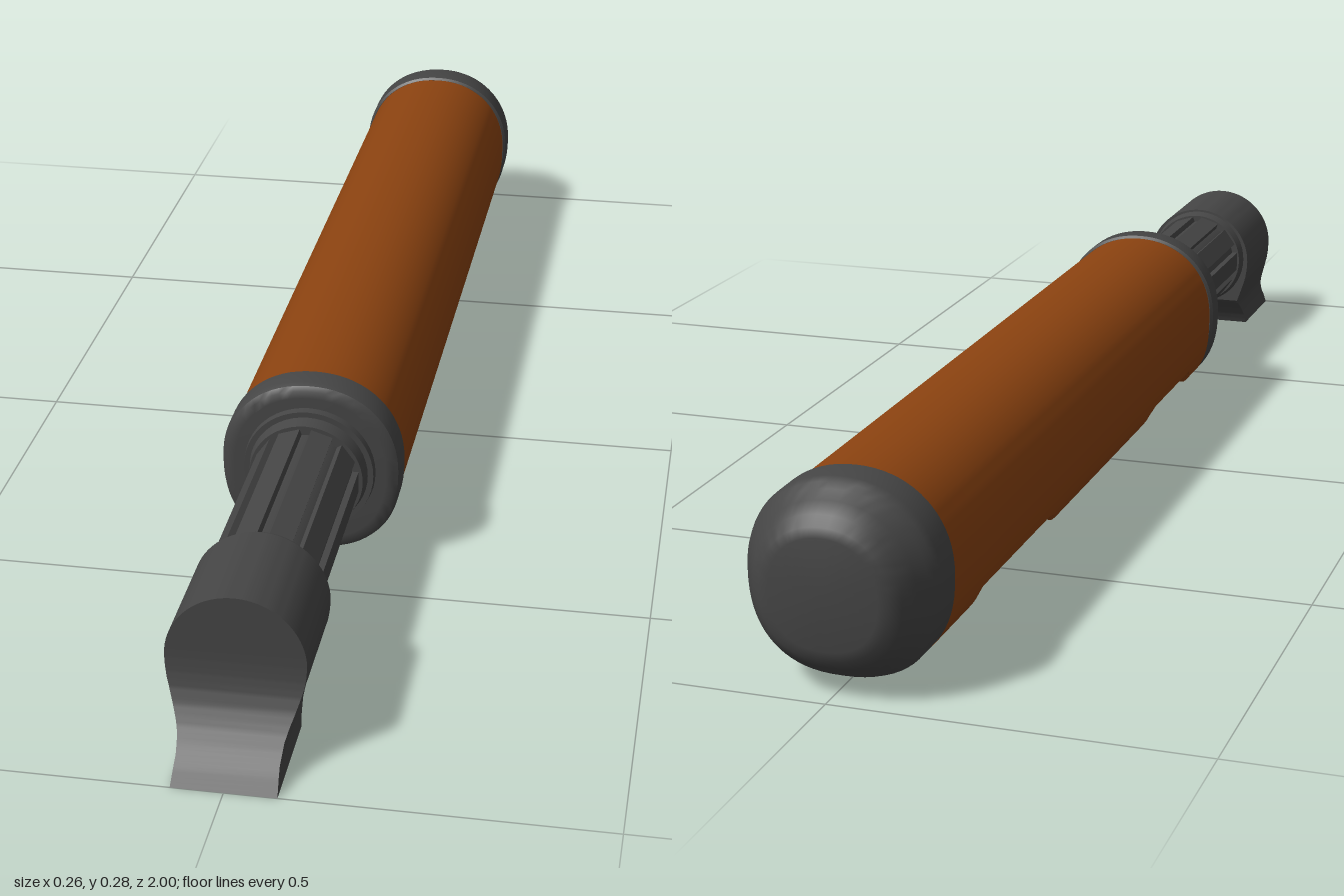
import * as THREE from 'three';
import { toCreasedNormals } from 'three/addons/utils/BufferGeometryUtils.js';

const CY = 0.145; // height of the long axis

// Piecewise-linear lookup in a table of [t, value] with rising t
function lookup(table, t) {
  if (t <= table[0][0]) return table[0][1];
  for (let i = 1; i < table.length; i++) {
    const [t0, v0] = table[i - 1], [t1, v1] = table[i];
    if (t <= t1) return v0 + (v1 - v0) * (t - t0) / (t1 - t0);
  }
  return table[table.length - 1][1];
}

// Skin over rings listed along their axis, each counter-clockwise seen from the far end
function loft(rings, crease = 0.6) {
  const n = rings[0].length, pos = rings.flat(2), index = [];
  for (let i = 0; i < rings.length - 1; i++) {
    for (let j = 0; j < n; j++) {
      const a = i * n + j, b = i * n + (j + 1) % n;
      index.push(a, b, b + n, a, b + n, a + n);
    }
  }
  [0, rings.length - 1].forEach((r, end) => {
    const c = pos.length / 3;
    for (let k = 0; k < 3; k++) pos.push(rings[r].reduce((s, p) => s + p[k], 0) / n);
    for (let j = 0; j < n; j++) {
      const a = r * n + j, b = r * n + (j + 1) % n;
      if (end) index.push(c, a, b); else index.push(c, b, a);
    }
  });
  const g = new THREE.BufferGeometry();
  g.setAttribute('position', new THREE.Float32BufferAttribute(pos, 3));
  g.setIndex(index);
  return toCreasedNormals(g, crease);
}

// Rounded arch section: circular top, squarer underside, optionally cut flat at floor
function section(z, w, up, down, power, scale = 1, floor = -1) {
  const ring = [];
  for (let i = 0; i < 72; i++) {
    const a = i / 72 * Math.PI * 2, c = Math.cos(a), s = Math.sin(a);
    const e = s < 0 ? 2 / power : 0.94;
    const x = Math.sign(c) * Math.abs(c) ** e * w * scale;
    const y = CY + Math.sign(s) * Math.abs(s) ** e * (s < 0 ? down : up) * scale;
    ring.push([x, Math.max(y, floor), z]);
  }
  return ring;
}

export function createModel() {
  const model = new THREE.Group();
  const orange = new THREE.MeshStandardMaterial({ name: 'burnt orange', color: 0x8a4210 });
  const grey = new THREE.MeshStandardMaterial({ name: 'dark grey', color: 0x454545 });
  const light = new THREE.MeshStandardMaterial({ name: 'light grey', color: 0x909090 });
  const add = (name, geometry, material, x = 0, y = 0, z = 0) => {
    const mesh = new THREE.Mesh(geometry, material);
    mesh.name = name;
    mesh.position.set(x, y, z);
    model.add(mesh);
    return mesh;
  };
  const box = (name, w, h, d, material, x, y, z) =>
    add(name, new THREE.BoxGeometry(w, h, d), material, x, y, z);
  const rod = (name, r0, r1, z0, z1) => {
    const g = new THREE.CylinderGeometry(r1, r0, z1 - z0, 48).rotateX(Math.PI / 2);
    return add(name, g, grey, 0, CY, (z0 + z1) / 2);
  };

  // Handle body with two recesses along the underside
  const floor = [[-0.885, 0.04], [-0.77, 0.04], [-0.755, 0.05], [-0.74, 0.07], [-0.72, 0.074],
    [-0.47, 0.074], [-0.44, 0.066], [-0.41, 0.045], [-0.39, 0.04], [0.02, 0.04],
    [0.04, 0.047], [0.06, 0.068], [0.08, 0.074], [0.26, 0.074], [0.275, 0.066],
    [0.295, 0.045], [0.31, 0.04], [0.365, 0.04]];
  add('handleBody', loft(floor.map(([z, y]) => section(z, 0.125, 0.126, 0.13, 2.8, 1, y))), orange);

  // Domed end cap and front collar
  const ringed = (profile) => loft(profile.map(([z, s]) => section(z, 0.13, 0.13, 0.135, 2.4, s)));
  add('endCap', ringed([[-1, 0.56], [-0.997, 0.66], [-0.985, 0.76], [-0.967, 0.85],
    [-0.95, 0.92], [-0.942, 0.97], [-0.93, 1], [-0.885, 1], [-0.882, 0.97]]), grey);
  add('frontCollar', ringed([[0.357, 0.97], [0.361, 1], [0.395, 1], [0.403, 0.98],
    [0.408, 0.93], [0.409, 0.85]]), grey);

  // Underside fittings
  box('latchBlock', 0.12, 0.045, 0.11, grey, 0, 0.037, -0.805);
  box('switchPlate', 0.13, 0.008, 0.18, grey, 0, 0.072, 0.17);
  box('switchButton', 0.05, 0.016, 0.07, grey, 0, 0.063, 0.215);
  box('switchInlay', 0.032, 0.004, 0.045, light, 0, 0.0545, 0.215);

  // Ribbed shaft
  rod('shaftSeat', 0.096, 0.094, 0.405, 0.42);
  rod('shaftBase', 0.086, 0.082, 0.42, 0.44);
  rod('shaftCore', 0.069, 0.069, 0.43, 0.76);
  rod('shaftEnd', 0.08, 0.086, 0.735, 0.755);
  for (let i = 0; i < 10; i++) {
    const a = i / 10 * Math.PI * 2;
    const rib = box('shaftRib', 0.022, 0.032, 0.31, grey, Math.cos(a) * 0.065, CY + Math.sin(a) * 0.065, 0.59);
    rib.rotation.z = a;
  }

  // Head: round barrel that sweeps down into a flat scoop
  const R = 0.092, HY = 0.141;
  const width = [[0, 0.069], [0.03, 0.067], [0.05, 0.069], [0.065, 0.0735], [0.08, 0.079], [0.095, 0.084],
    [0.11, 0.0885], [0.125, 0.091], [HY, R]];
  const front = [[0, 1], [0.02, 0.983], [0.04, 0.961], [0.06, 0.944], [0.08, 0.931],
    [0.1, 0.922], [0.12, 0.917], [HY, 0.915]];
  const back = [[0, 0.84], [0.015, 0.833], [0.03, 0.817], [0.045, 0.793], [0.055, 0.772],
    [0.06, 0.755], [0.065, 0.75]];
  const head = [];
  const addRow = (y, w) => {
    const f = lookup(front, y), b = lookup(back, y);
    head.push([[w, y, f], [w, y, b], [-w, y, b], [-w, y, f]]);
  };
  for (let i = 0; i < 28; i++) addRow(i / 28 * HY, lookup(width, i / 28 * HY));
  for (let i = 0; i <= 18; i++) {
    const a = i / 18 * Math.PI / 2;
    addRow(HY + R * Math.sin(a), Math.max(R * Math.cos(a), 0.001));
  }
  add('scoopHead', loft(head), grey);

  return model;
}
